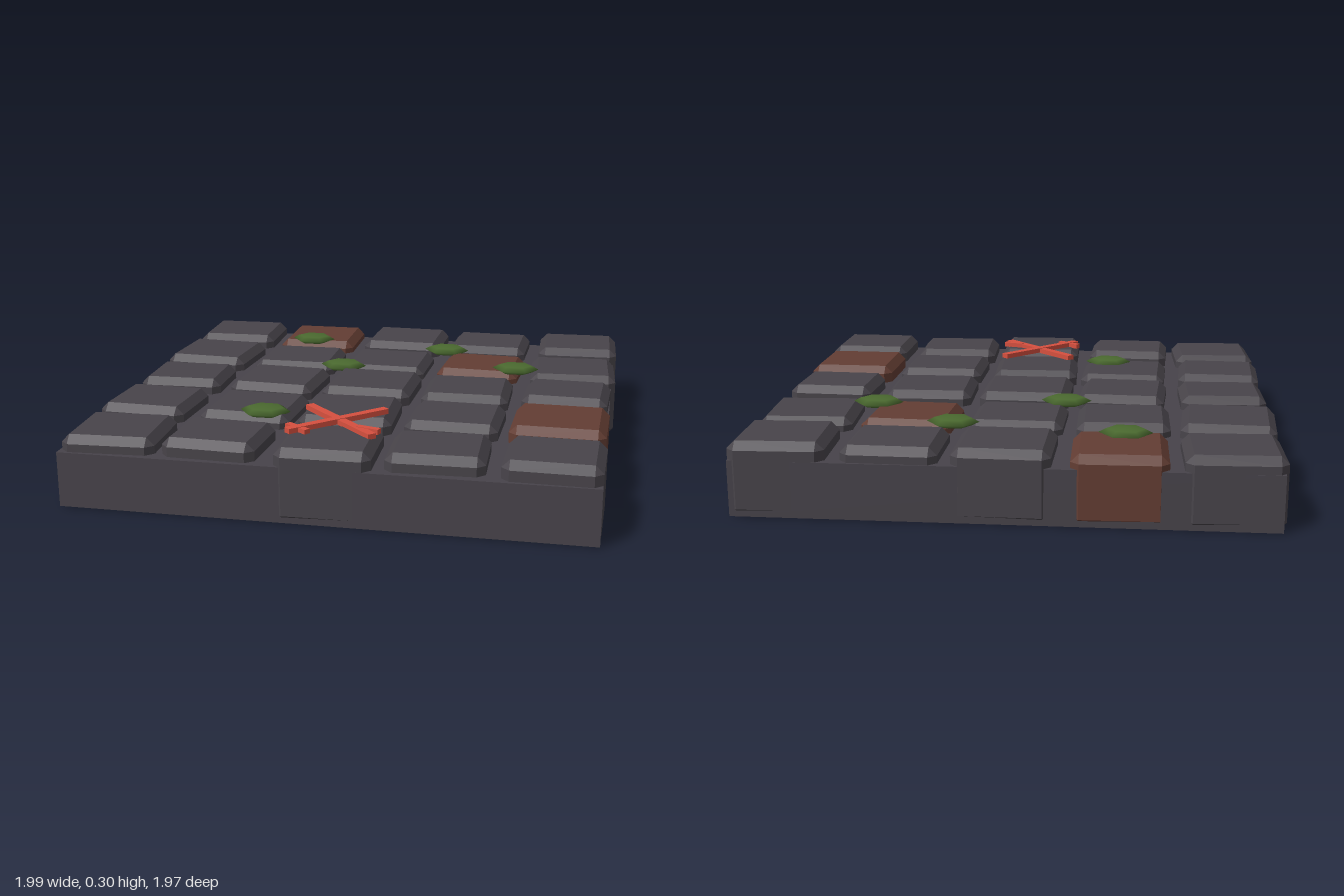
import * as THREE from 'three';
import { ConvexGeometry } from 'three/addons/geometries/ConvexGeometry.js';

const mat = (name, color, flatShading = true) => {
  const m = new THREE.MeshStandardMaterial({ color, flatShading });
  m.name = name;
  return m;
};

// Box with every edge cut by a single flat chamfer
function chamferBox(w, h, d, c) {
  const pts = [];
  for (const sx of [-1, 1]) for (const sy of [-1, 1]) for (const sz of [-1, 1]) {
    const x = w / 2, y = h / 2, z = d / 2;
    pts.push(
      new THREE.Vector3(sx * x, sy * (y - c), sz * (z - c)),
      new THREE.Vector3(sx * (x - c), sy * y, sz * (z - c)),
      new THREE.Vector3(sx * (x - c), sy * (y - c), sz * z));
  }
  return new ConvexGeometry(pts);
}

// Paving stones, row by row from the back: x, z, width, depth, turn in degrees, top height
const ROWS = [
  [[-0.807, -0.812, 0.355, 0.33, 2, 0.27], [-0.408, -0.807, 0.345, 0.344, 1, 0.262],
    [0.003, -0.81, 0.355, 0.338, -1, 0.272], [0.401, -0.807, 0.35, 0.322, -1, 0.268], [0.81, -0.812, 0.35, 0.332, 2, 0.278]],
  [[-0.813, -0.404, 0.358, 0.348, -3, 0.268], [-0.412, -0.398, 0.355, 0.328, 1, 0.262],
    [-0.008, -0.401, 0.36, 0.33, -1, 0.262], [0.406, -0.417, 0.35, 0.322, -3, 0.26], [0.807, -0.414, 0.36, 0.34, 3, 0.263]],
  [[-0.807, 0.003, 0.343, 0.3, 2, 0.27], [-0.401, -0.005, 0.35, 0.333, -3, 0.27],
    [-0.003, -0.003, 0.365, 0.338, -1, 0.274], [0.398, 0.003, 0.352, 0.325, 1, 0.27], [0.803, 0.003, 0.34, 0.302, -2, 0.278]],
  [[-0.813, 0.396, 0.345, 0.33, -2, 0.27], [-0.398, 0.388, 0.36, 0.335, -2, 0.264],
    [-0.008, 0.396, 0.36, 0.34, 2, 0.274], [0.403, 0.396, 0.355, 0.322, -1, 0.272], [0.8, 0.398, 0.358, 0.348, -1, 0.28]],
  [[-0.802, 0.791, 0.35, 0.335, 3, 0.27], [-0.414, 0.8, 0.35, 0.304, -2, 0.277],
    [0.003, 0.814, 0.35, 0.33, 1.5, 0.278], [0.396, 0.789, 0.355, 0.314, 2, 0.274], [0.807, 0.8, 0.348, 0.328, -1, 0.28]],
];
const RUSTY = ['0,1', '1,3', '3,4']; // row, column of the reddish stones

const MOSS = [[-0.425, -0.68], [0.225, -0.585], [0.565, -0.315], [-0.18, -0.23], [-0.325, 0.5]];

// Painted strokes as x1, z1, x2, z2, width
const STROKES = [
  [-0.155, 0.475, 0.155, 0.795, 0.033], [0.145, 0.475, -0.16, 0.795, 0.033],
  [-0.175, 0.725, -0.085, 0.79, 0.025], [0.085, 0.715, 0.17, 0.74, 0.025],
];

export function createModel() {
  const group = new THREE.Group();
  group.name = 'pavedFloorTile';
  const slabMat = mat('darkMortar', 0x47434a);
  const stoneMat = mat('darkStone', 0x48444a);
  const rustMat = mat('rustyStone', 0x633d33);
  const mossMat = mat('moss', 0x4a692f, false);
  const redMat = mat('redMark', 0xd6503f);

  const add = (name, geometry, material, x, y, z) => {
    const mesh = new THREE.Mesh(geometry, material);
    mesh.name = name;
    mesh.position.set(x, y, z);
    group.add(mesh);
    return mesh;
  };

  // Slab under the stones
  add('slab', new THREE.BoxGeometry(1.954, 0.208, 1.952), slabMat, 0, 0.106, 0);

  // Slightly turned stones, set through the slab
  ROWS.forEach((row, r) => row.forEach(([x, z, w, d, deg, top], c) => {
    const rusty = RUSTY.includes(`${r},${c}`);
    const stone = add(rusty ? 'rustyStone' : 'stone', chamferBox(w, top, d, 0.03),
      rusty ? rustMat : stoneMat, x, top / 2, z);
    stone.rotation.y = THREE.MathUtils.degToRad(deg);
  }));

  // Flat six-sided moss clumps
  const mossGeo = new THREE.SphereGeometry(1, 6, 4);
  for (const [x, z] of MOSS) {
    add('mossClump', mossGeo, mossMat, x, 0.266, z).scale.set(0.1, 0.021, 0.08);
  }

  // Crossed red strokes with two short ticks
  STROKES.forEach(([x1, z1, x2, z2, width], i) => {
    const dx = x2 - x1, dz = z2 - z1;
    const bar = add(i < 2 ? 'crossBar' : 'crossTick',
      new THREE.BoxGeometry(Math.hypot(dx, dz), 0.02, width), redMat,
      (x1 + x2) / 2, 0.285 + (i % 2) * 0.002, (z1 + z2) / 2);
    bar.rotation.y = -Math.atan2(dz, dx);
  });

  return group;
}
